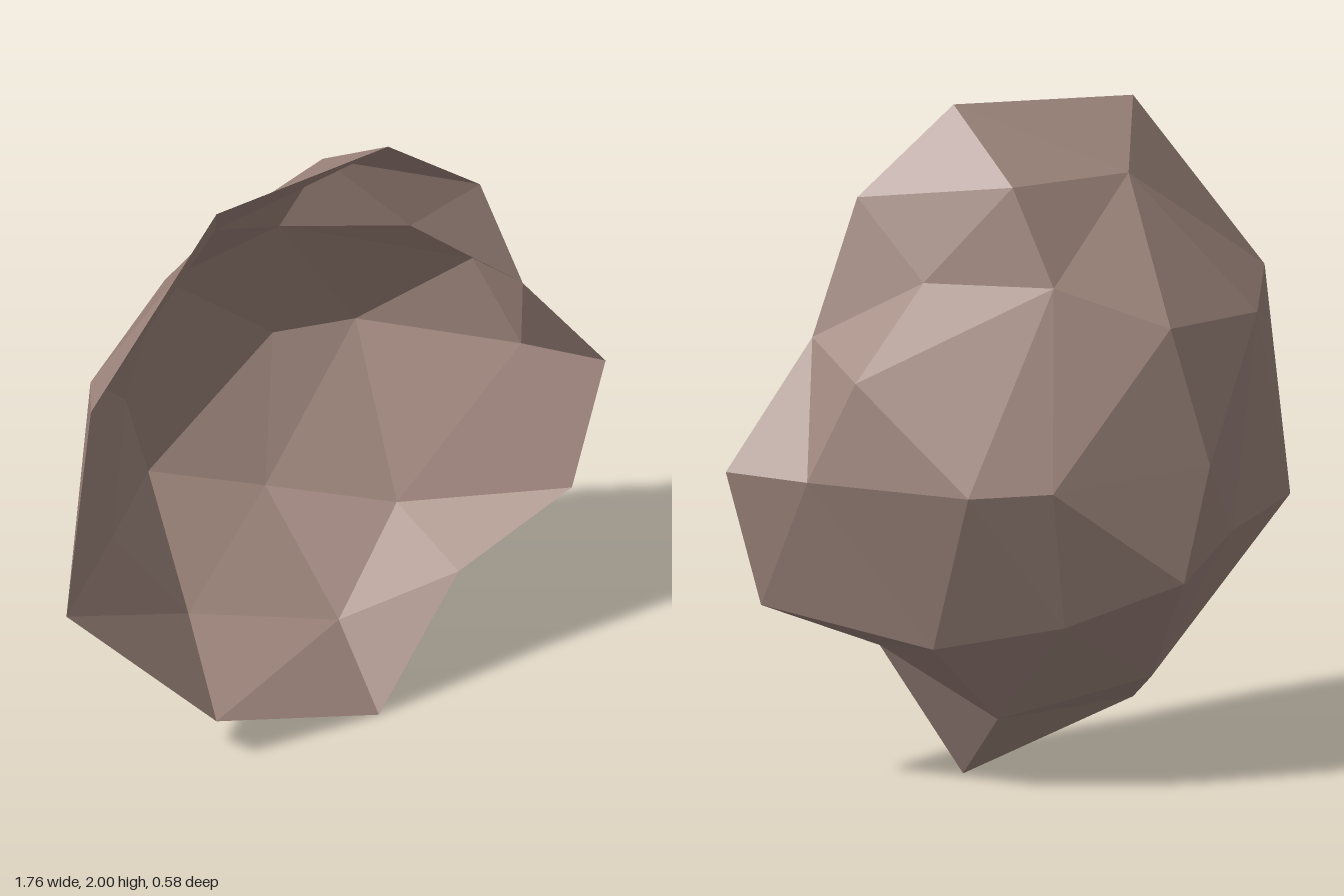
import * as THREE from 'three';

// Contour rings of the boulder, from the open rim inwards to the peak at the back.
const rim = [
  [0.17, 2.0], [0.47, 1.76], [0.61, 1.36], [0.88, 0.99], [0.77, 0.58], [0.40, 0.415],
  [0.14, 0.0], [-0.39, 0.165], [-0.88, 0.71], [-0.80, 1.405], [-0.39, 1.96],
].map(([x, y]) => [x, y, 0.29]);
const shoulder = [
  [0.10, 1.815, 0.03], [0.345, 1.54, 0.105], [0.59, 1.29, 0.03], [0.71, 0.99, 0.10],
  [0.365, 0.48, -0.01], [0.12, 0.215, 0.09], [-0.31, 0.32, -0.02], [-0.58, 0.71, 0.02],
  [-0.685, 1.335, 0.08], [-0.31, 1.78, 0.14],
];
const crown = [
  [0.02, 1.535, -0.08], [0.355, 0.99, -0.235], [0.03, 0.55, -0.18],
  [-0.305, 0.665, -0.265], [-0.41, 0.99, -0.21], [-0.305, 1.40, -0.17],
];
const peak = [[0.115, 0.99, -0.29]];

// Joins two rings with triangles; each step advances the outer (o) or inner (i) ring.
function stitch(outer, inner, steps) {
  const points = [];
  let a = 0, b = 0;
  const out = (k) => outer[k % outer.length];
  const inn = (k) => inner[k % inner.length];
  for (const step of steps) {
    if (step === 'o') points.push(out(a), out(++a), inn(b));
    else points.push(out(a), inn(b + 1), inn(b++));
  }
  return points;
}

export function createModel() {
  const group = new THREE.Group();
  group.name = 'boulder';

  const stone = new THREE.MeshStandardMaterial({
    color: 0xa1887f, flatShading: true, side: THREE.DoubleSide,
  });
  stone.name = 'stone brown';

  // Faceted shell, open towards the front
  const points = [
    ...stitch(rim, shoulder, 'oioiiooioiooioiioiooi'),
    ...stitch(shoulder, crown, 'ooiooiooioioioio'),
    ...stitch(crown, peak, 'oooooo'),
  ];
  const geometry = new THREE.BufferGeometry();
  geometry.setAttribute('position', new THREE.Float32BufferAttribute(points.flat(), 3));
  geometry.computeVertexNormals();

  const shell = new THREE.Mesh(geometry, stone);
  shell.name = 'rockShell';
  group.add(shell);
  return group;
}
